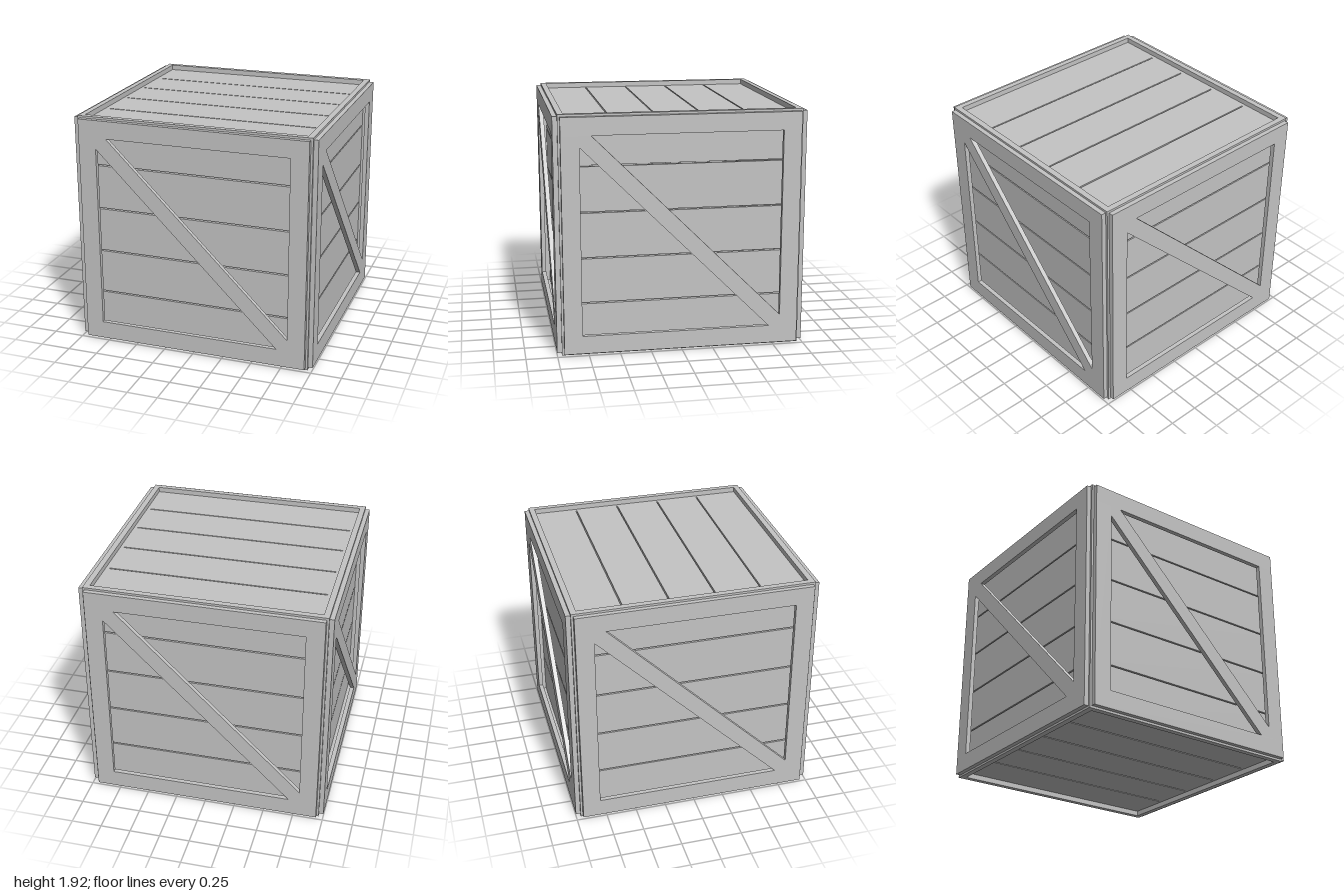
import * as THREE from 'three';

const RIM = 0.9625;    // half size of the edge frame
const BEAM = 0.0475;   // thickness of the edge beams
const SHELL = 0.92;    // outer face of the plank shell
const PLANK = 0.035;   // plank thickness
const TRIM = 0.0375;   // thickness of the boards fixed over the edge beams
const PITCH = 0.368;   // distance between plank gaps
const GAP = 0.011;

const wood = new THREE.MeshStandardMaterial({ color: 0xc4c4c4 });
wood.name = 'grey wood';

function polygon(points) {
  return new THREE.Shape(points.map(([x, y]) => new THREE.Vector2(x, y)));
}

function rect(w, h, cy = 0) {
  return polygon([[-w, cy - h], [w, cy - h], [w, cy + h], [-w, cy + h]]);
}

function extrude(shape, depth, z, name) {
  const geometry = new THREE.ExtrudeGeometry(shape, { depth, bevelEnabled: false });
  const mesh = new THREE.Mesh(geometry, wood);
  mesh.position.z = z;
  mesh.name = name;
  return mesh;
}

function box(size, position, name) {
  const mesh = new THREE.Mesh(new THREE.BoxGeometry(...size), wood);
  mesh.position.set(...position);
  mesh.name = name;
  return mesh;
}

// Plank panel: five boards separated by four narrow open gaps
function plankPanel(name) {
  const half = RIM - BEAM;
  const shape = rect(half, half);
  for (let i = 0; i < 4; i++) {
    shape.holes.push(rect(SHELL - PLANK, GAP / 2, (i - 1.5) * PITCH));
  }
  return extrude(shape, PLANK, SHELL - PLANK, name);
}

// One upright side, facing +z
function crateSide(name) {
  const side = new THREE.Group();
  side.name = name;
  side.add(plankPanel('wallPlanks'));
  const z = RIM + TRIM / 2;
  for (const s of [-1, 1]) {
    side.add(box([1.89, 0.145, TRIM], [0, s * 0.8725, z], s > 0 ? 'topRail' : 'bottomRail'));
    side.add(box([0.145, 1.6, TRIM], [s * 0.8725, 0, z], s > 0 ? 'leftStile' : 'rightStile'));
  }
  // Diagonal brace, cut to fit the frame corners
  const brace = polygon([
    [-0.8, 0.8], [-0.8, 0.71], [0.71, -0.8], [0.8, -0.8], [0.8, -0.71], [-0.71, 0.8],
  ]);
  side.add(extrude(brace, TRIM, RIM, 'diagonalBrace'));
  return side;
}

export function createModel() {
  const crate = new THREE.Group();
  crate.name = 'crate';

  // Four sides turned around the upright axis
  ['frontSide', 'leftSide', 'backSide', 'rightSide'].forEach((name, i) => {
    const side = crateSide(name);
    side.position.y = RIM;
    side.rotation.y = i * Math.PI / 2;
    crate.add(side);
  });

  // Lid and floor, set in below the rim
  for (const s of [1, -1]) {
    const panel = new THREE.Group();
    panel.name = s > 0 ? 'lid' : 'floor';
    panel.add(plankPanel('flatPlanks'));
    panel.rotation.x = -s * Math.PI / 2;
    panel.position.y = RIM;
    crate.add(panel);
  }

  // Twelve edge beams standing proud of the planks
  const c = RIM - BEAM / 2;
  const inner = 2 * (RIM - BEAM);
  for (const a of [-1, 1]) {
    for (const b of [-1, 1]) {
      crate.add(box([BEAM, 2 * RIM, BEAM], [a * c, RIM, b * c], 'cornerPost'));
      crate.add(box([inner, BEAM, BEAM], [0, RIM + a * c, b * c], 'crossBeam'));
      crate.add(box([BEAM, BEAM, inner], [a * c, RIM + b * c, 0], 'sideBeam'));
    }
  }
  return crate;
}
